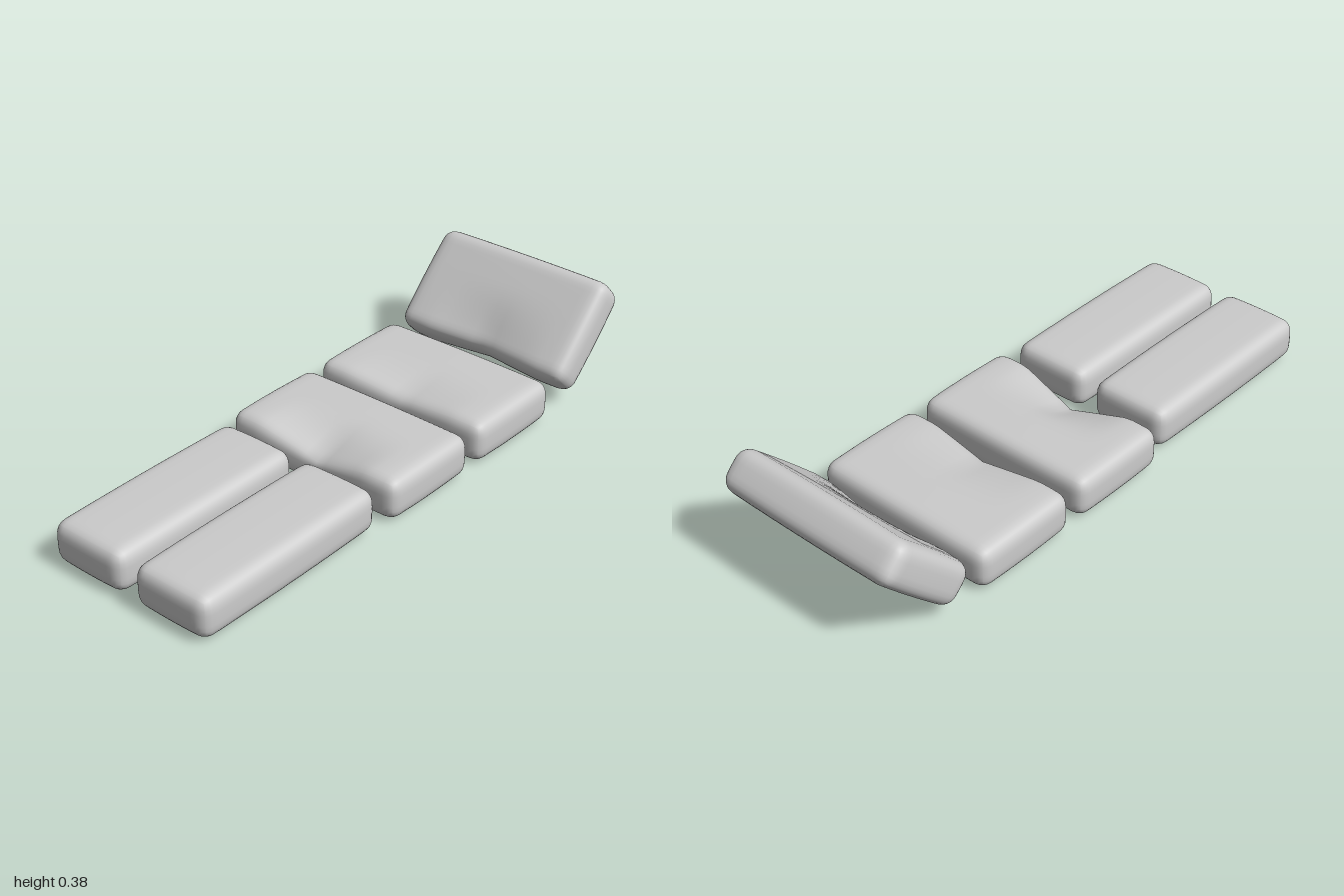
import * as THREE from 'three';
import { mergeVertices } from 'three/addons/utils/BufferGeometryUtils.js';

const material = new THREE.MeshStandardMaterial({ color: 0xcccccc, roughness: 0.8 });

// Soft rounded block; dip lowers the middle of the top front edge, notch pushes the front face back there.
function cushionGeometry(size, { dip = 0, notch = 0, radius = 0.042, bulge = 0.006 } = {}) {
  const geo = new THREE.BoxGeometry(2, 2, 2, 24, 12, 24);
  const half = new THREE.Vector3(...size).multiplyScalar(0.5).subScalar(bulge);
  const inner = half.clone().subScalar(radius);
  const pos = geo.attributes.position;
  const p = new THREE.Vector3(), core = new THREE.Vector3(), u = new THREE.Vector3();
  for (let i = 0; i < pos.count; i++) {
    // gather the grid towards the edges, then round them
    p.fromBufferAttribute(pos, i);
    for (const a of ['x', 'y', 'z']) p[a] = Math.sin(p[a] * Math.PI / 2) * half[a];
    core.copy(p).clamp(inner.clone().negate(), inner);
    p.sub(core).setLength(radius).add(core);

    // gentle swelling of every face
    u.copy(p).divide(half);
    p.x += bulge * u.x * (1 - u.y * u.y * 0.5 - u.z * u.z * 0.5);
    p.y += bulge * u.y * (1 - u.x * u.x * 0.5 - u.z * u.z * 0.5);
    p.z += bulge * u.z * (1 - u.x * u.x * 0.5 - u.y * u.y * 0.5);

    // V-shaped hollow at the front
    const v = Math.max(0, 1 - Math.abs(p.x) / 0.22);
    const front = THREE.MathUtils.smoothstep(u.z, -0.3, 1);
    p.y -= dip * v * front * (u.y + 1) / 2;
    p.z -= notch * v * Math.max(0, u.z);
    pos.setXYZ(i, p.x, p.y, p.z);
  }
  geo.deleteAttribute('uv');
  geo.deleteAttribute('normal');
  const welded = mergeVertices(geo, 1e-5);
  welded.computeVertexNormals();
  return welded;
}

export function createModel() {
  const group = new THREE.Group();
  const add = (name, size, position, options, tilt = 0) => {
    const mesh = new THREE.Mesh(cushionGeometry(size, options), material);
    mesh.name = name;
    mesh.position.set(...position);
    mesh.rotation.x = tilt;
    group.add(mesh);
  };

  // pair of long leg cushions
  add('leftLegCushion', [0.295, 0.155, 0.745], [0.173, 0.085, 0.624]);
  add('rightLegCushion', [0.295, 0.155, 0.745], [-0.162, 0.085, 0.624]);

  // wide cushions with a hollow in the front edge
  add('hipCushion', [0.68, 0.155, 0.39], [0, 0.081, 0.015], { dip: 0.065, notch: 0.03 });
  add('backCushion', [0.68, 0.155, 0.4], [0, 0.081, -0.418], { dip: 0.03, notch: 0.02 });

  // raised headrest
  add('headrestCushion', [0.69, 0.15, 0.385], [0, 0.22, -0.829], { dip: 0.03, notch: 0.02 }, Math.PI / 4);
  return group;
}
